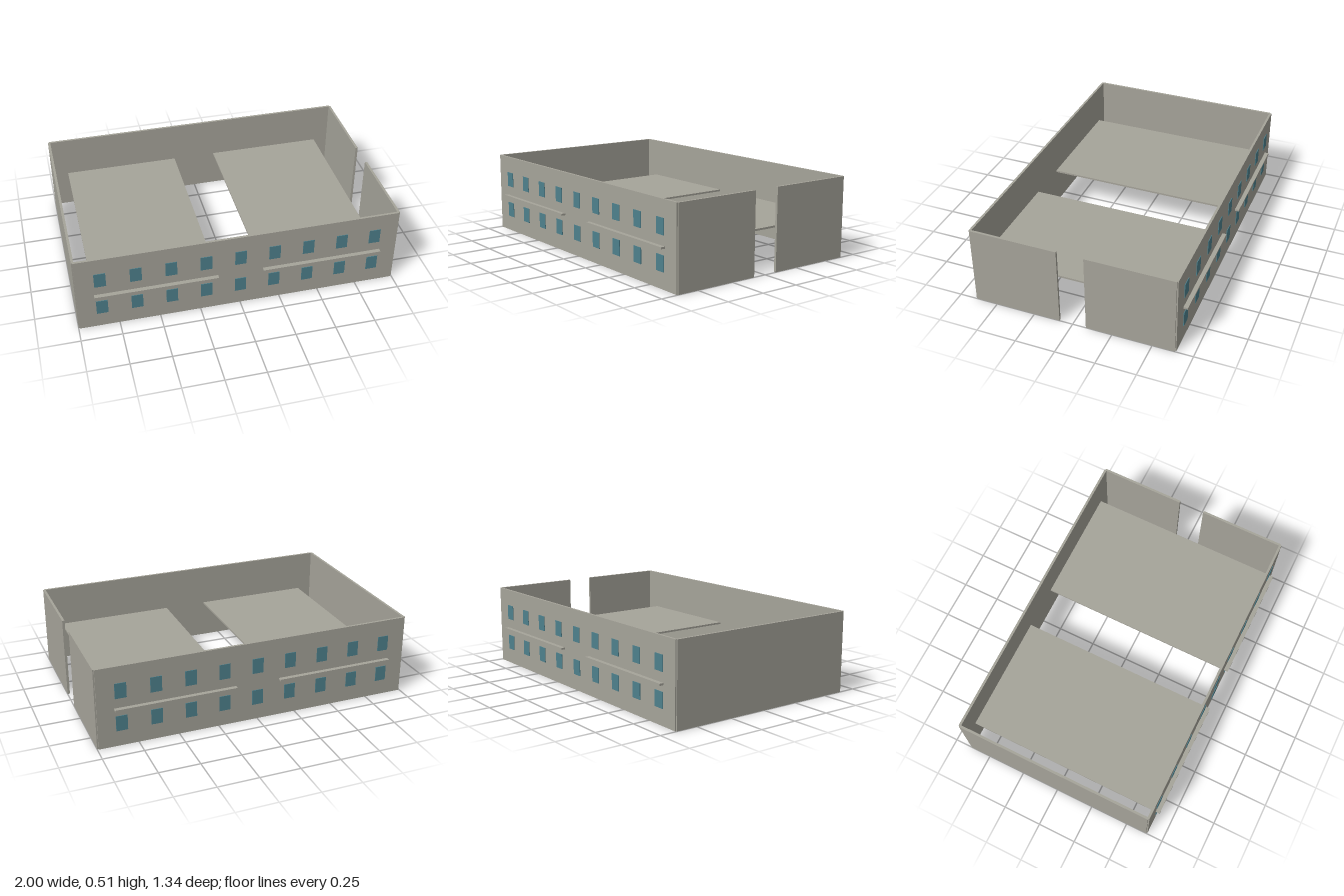
import * as THREE from 'three';

export function createModel() {
  const model = new THREE.Group();
  model.name = 'building';
  const concrete = new THREE.MeshStandardMaterial({ color: 0xa6a49a });
  concrete.name = 'warm grey concrete';
  const glass = new THREE.MeshStandardMaterial({ color: 0x4e818d });
  glass.name = 'teal glass';

  const box = (name, material, [w, h, d], [x, y, z]) => {
    const mesh = new THREE.Mesh(new THREE.BoxGeometry(w, h, d), material);
    mesh.name = name;
    mesh.position.set(x, y, z);
    model.add(mesh);
  };

  const height = 0.51, thick = 0.015, halfDepth = 0.645, doorHalf = 0.085;
  const wallZ = halfDepth - thick / 2, wallX = 1 - thick / 2;

  // Closed end wall
  box('rightWall', concrete, [thick, height, 2 * wallZ], [-wallX, height / 2, 0]);

  for (const side of [1, -1]) {
    const face = side > 0 ? 'front' : 'back';
    // Long facades
    box(face + 'Wall', concrete, [2 * wallX, height, thick], [0, height / 2, side * wallZ]);

    // End wall halves on either side of the full-height entrance
    const length = wallZ - doorHalf;
    box(face + 'EntranceWall', concrete, [thick, height, length],
      [wallX, height / 2, side * (doorHalf + length / 2)]);

    // Two rows of nine windows
    for (const y of [0.148, 0.357]) {
      for (let i = -4; i <= 4; i++) {
        box(face + 'Window', glass, [0.07, 0.096, 0.006], [i * 0.212, y, side * (halfDepth + 0.001)]);
      }
    }

    // Upper floor slabs, projecting through both facades as ledges
    box(side > 0 ? 'leftFloor' : 'rightFloor', concrete, [0.75, 0.012, 1.344], [side * 0.515, 0.242, 0]);
  }
  return model;
}
